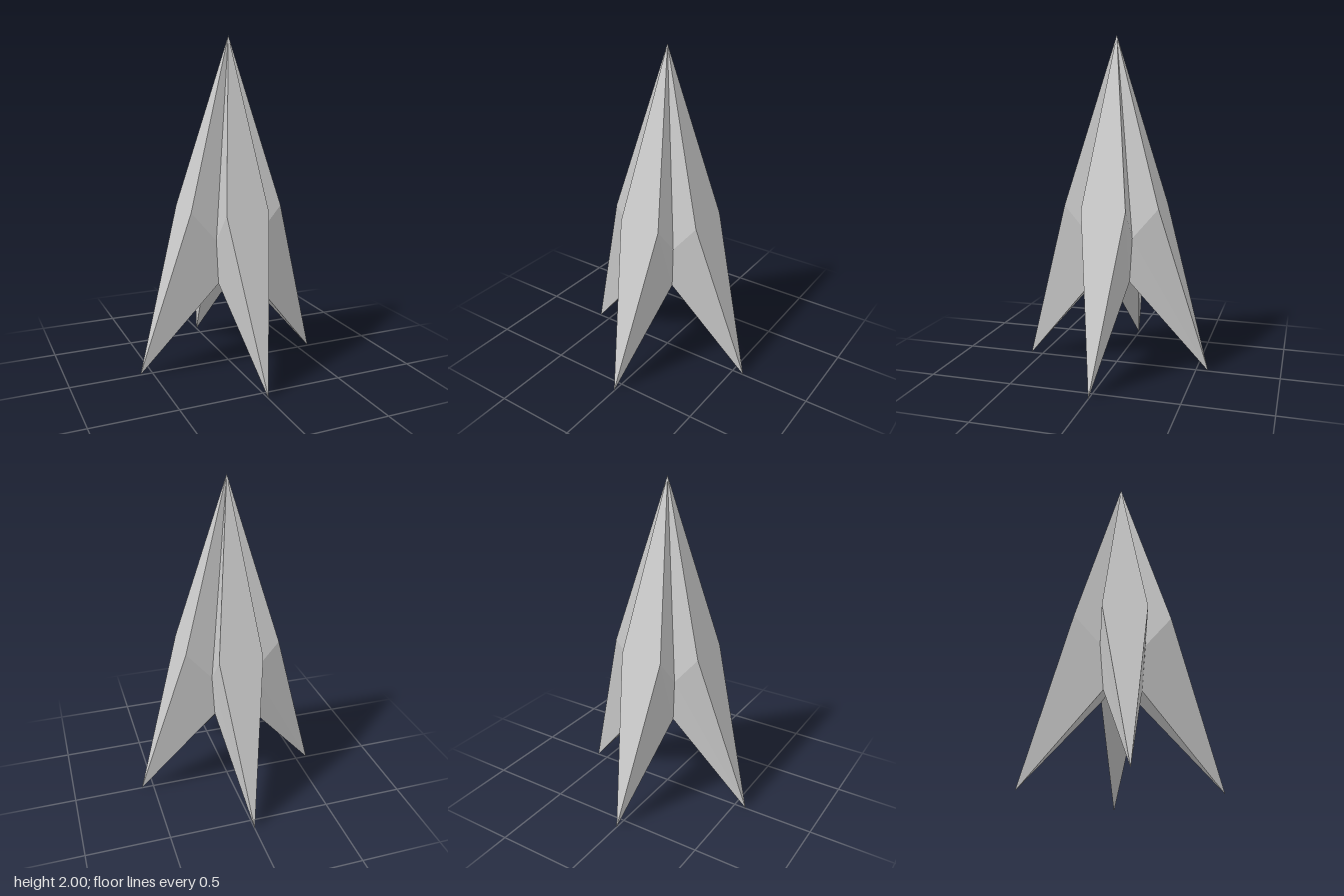
import * as THREE from 'three';

// Turns convex corner loops (counter-clockwise from outside) into a faceted geometry.
function facetGeometry(faces) {
  const points = [];
  for (const face of faces) {
    for (let i = 1; i < face.length - 1; i++) points.push(face[0], face[i], face[i + 1]);
  }
  const geometry = new THREE.BufferGeometry().setFromPoints(points);
  geometry.computeVertexNormals();
  return geometry;
}

// One fin pointing to +z: a kite-shaped outer face, two flanks and an underside.
function finGeometry() {
  const v = (x, y, z) => new THREE.Vector3(x, y, z);
  const apex = v(0, 2, 0);
  const tip = v(0, 0, 0.575);
  const core = v(0, 0.68, 0);
  const side = (s) => ({
    shoulder: v(0.132 * s, 1, 0.2875),
    valley: v(0.132 * s, 0.82, 0.132),
    notch: v(0.11 * s, 0.55, 0.11),
  });
  const l = side(1);
  const r = side(-1);
  const flank = (p) => [
    [apex, p.shoulder, p.valley],
    [p.shoulder, tip, p.notch, p.valley],
  ];
  return facetGeometry([
    [apex, r.shoulder, tip, l.shoulder],
    ...flank(l),
    ...flank(r).map((face) => face.reverse()),
    [tip, r.notch, core, l.notch],
  ]);
}

export function createModel() {
  const model = new THREE.Group();
  model.name = 'finnedSpike';
  const material = new THREE.MeshStandardMaterial({ color: 0xcccccc, flatShading: true });
  const geometry = finGeometry();

  // Four equal fins meeting at the apex and along the valleys
  ['frontFin', 'leftFin', 'backFin', 'rightFin'].forEach((name, i) => {
    const fin = new THREE.Mesh(geometry, material);
    fin.name = name;
    fin.rotation.y = (i * Math.PI) / 2;
    model.add(fin);
  });
  return model;
}
